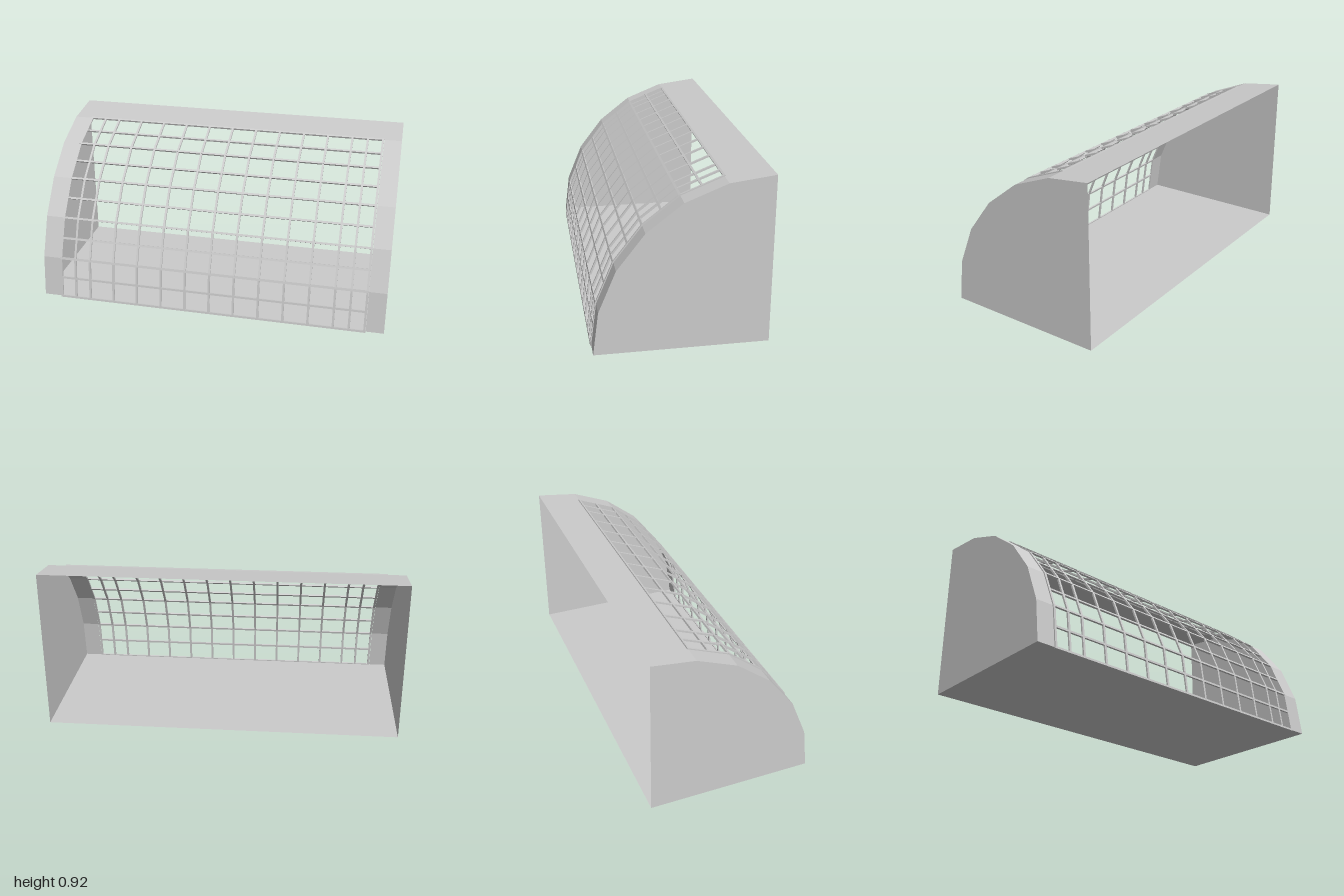
import * as THREE from 'three';

// Faceted front curve as [z, y], from the floor edge up to the back top edge
const PROFILE = [
  [0.455, 0.005], [0.425, 0.243], [0.333, 0.465], [0.187, 0.655],
  [-0.002, 0.802], [-0.222, 0.89], [-0.46, 0.92],
].map(([z, y]) => new THREE.Vector2(z, y));
const GRID_CURVE = PROFILE.slice(0, 6);
const BAR_W = 0.012, BAR_T = 0.01, OPEN_X = 0.9, FLOOR_Y = 0.005, BACK_Z = -0.46;

export function createModel() {
  const model = new THREE.Group();
  const sheet = new THREE.MeshStandardMaterial({ color: 0xcccccc, side: THREE.DoubleSide, flatShading: true });
  const metal = new THREE.MeshStandardMaterial({ color: 0xcccccc, flatShading: true });

  const add = (parent, name, geometry, material) => {
    const mesh = new THREE.Mesh(geometry, material);
    mesh.name = name;
    parent.add(mesh);
    return mesh;
  };

  // Thin sheet that follows profile points between two x positions
  const curvedSheet = (points, x0, x1) => {
    const geo = new THREE.PlaneGeometry(x1 - x0, 1, 1, points.length - 1);
    const pos = geo.attributes.position;
    for (let i = 0; i < pos.count; i++) {
      const p = points[points.length - 1 - Math.floor(i / 2)];
      pos.setXYZ(i, i % 2 ? x1 : x0, p.y, p.x);
    }
    geo.computeVertexNormals();
    return geo;
  };

  // Side walls
  const wall = new THREE.Shape([...PROFILE, new THREE.Vector2(BACK_Z, FLOOR_Y)]);
  for (const s of [-1, 1]) {
    const side = s > 0 ? 'left' : 'right';
    const geo = new THREE.ShapeGeometry(wall).rotateY(-Math.PI / 2);
    add(model, side + 'Wall', geo, sheet).position.x = s;
    // Curved margin beside the opening
    const [x0, x1] = s > 0 ? [OPEN_X, 1] : [-1, -OPEN_X];
    add(model, side + 'FrontMargin', curvedSheet(GRID_CURVE, x0, x1), sheet);
  }

  // Top strip and floor; the back stays open
  add(model, 'topStrip', curvedSheet(PROFILE.slice(5), -1, 1), sheet);
  add(model, 'floor', curvedSheet([new THREE.Vector2(BACK_Z, FLOOR_Y), PROFILE[0]], -1, 1), sheet);

  const grille = new THREE.Group();
  grille.name = 'grille';
  model.add(grille);

  // Upright bars: a mitred band around the curve, extruded across x
  const normals = [];
  for (let i = 0; i < GRID_CURVE.length - 1; i++) {
    const d = GRID_CURVE[i + 1].clone().sub(GRID_CURVE[i]).normalize();
    normals.push(new THREE.Vector2(d.y, -d.x));
  }
  const offset = (dist) => GRID_CURVE.map((p, i) => {
    const a = normals[Math.max(i - 1, 0)], b = normals[Math.min(i, normals.length - 1)];
    return p.clone().addScaledVector(a.clone().add(b), dist / (1 + a.dot(b)));
  });
  const band = new THREE.Shape([...offset(BAR_T / 2), ...offset(-BAR_T / 2).reverse()]);
  const uprightGeo = new THREE.ExtrudeGeometry(band, { depth: BAR_W, bevelEnabled: false })
    .translate(0, 0, -BAR_W / 2).rotateY(-Math.PI / 2);
  for (const x of [0, 0.143, 0.286, 0.43, 0.573, 0.716, 0.805, 0.892]) {
    for (const s of x ? [-1, 1] : [1]) {
      add(grille, 'uprightBar', uprightGeo, metal).position.x = s * x;
    }
  }

  // Cross bars at every bend and halfway between bends
  const crossGeo = new THREE.BoxGeometry(2 * 0.898, BAR_W, BAR_T);
  for (let k = 0; k <= 10; k++) {
    const i = Math.floor(k / 2), j = Math.ceil(k / 2);
    const p = GRID_CURVE[i].clone().lerp(GRID_CURVE[j], 0.5);
    const n = normals[Math.max(j - 1, 0)].clone().add(normals[Math.min(i, 4)]);
    const bar = add(grille, 'crossBar', crossGeo, metal);
    bar.position.set(0, p.y, p.x);
    bar.rotation.x = -Math.atan2(n.y, n.x);
  }

  return model;
}
